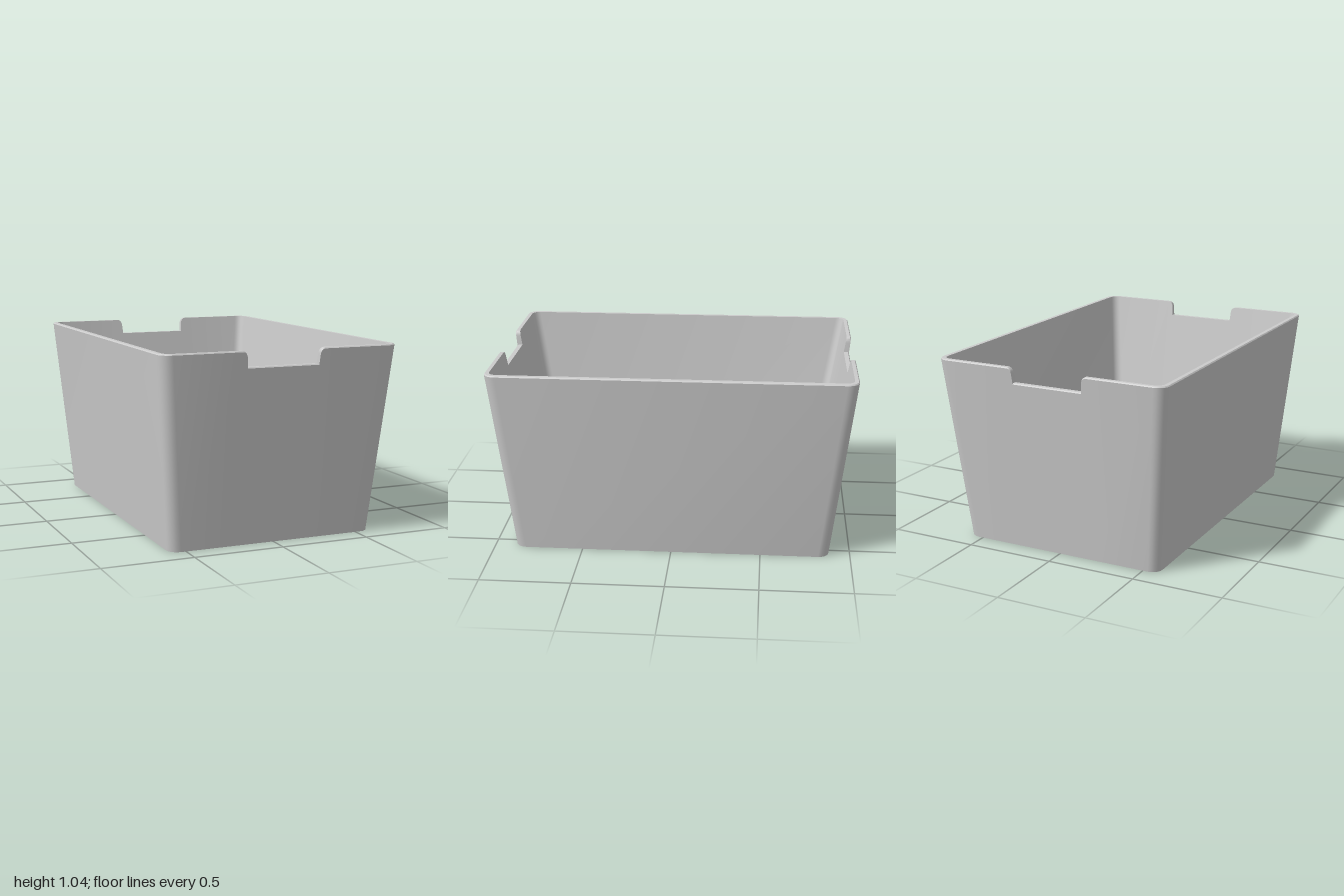
import * as THREE from 'three';
import { toCreasedNormals } from 'three/addons/utils/BufferGeometryUtils.js';

const HEIGHT = 1.04, FLOOR = 0.04, BEVEL = 0.006;
// Half width, half depth and corner radius of each outline
const OUTER = [[0.588, 0.883, 0.06], [0.675, 1.0, 0.065]];
const INNER = [[0.537, 0.806, 0.05], [0.647, 0.974, 0.045]];

const mix = ([a, b], t) => a.map((v, i) => THREE.MathUtils.lerp(v, b[i], t));
const outerAt = y => mix(OUTER, y / HEIGHT);
const innerAt = y => mix(INNER, (y - FLOOR) / (HEIGHT - FLOOR));

// Stations round half the wall: a corner, the handle notch, a corner
function halfStations() {
  const list = [];
  const corner = (side, from, to, n = 5) => {
    for (let i = 0; i <= n; i++) list.push({ side, angle: from + (to - from) * i / n, y: HEIGHT });
  };
  // Right half of the notch: square foot, rounded shoulder
  const notch = [[0.203, 0.955], [0.207, 1.008]];
  for (let i = 1; i <= 5; i++) {
    const a = (i / 5) * Math.PI / 2;
    notch.push([0.235 - 0.028 * Math.cos(a), 1.008 + 0.032 * Math.sin(a)]);
  }
  corner(-1, Math.PI, Math.PI / 2);
  [...notch].reverse().forEach(([x, y]) => list.push({ x: -x, y }));
  notch.forEach(([x, y]) => list.push({ x, y }));
  corner(1, Math.PI / 2, 0);
  return list;
}

// Point of a station on an outline at height y
function place(s, [w, d, r], y) {
  if (s.x !== undefined) return new THREE.Vector3(s.x, y, d);
  return new THREE.Vector3(s.side * (w - r) + r * Math.cos(s.angle), y, d - r + r * Math.sin(s.angle));
}

// Section through one station: underside, outer wall, rim, inner wall, floor
function section(s, turn) {
  const top = outerAt(s.y);
  const rim = [top[0] - BEVEL, top[1] - BEVEL, top[2] - BEVEL];
  const points = [
    new THREE.Vector3(0, 0, 0),
    place(s, OUTER[0], 0),
    place(s, outerAt(s.y - BEVEL), s.y - BEVEL),
    place(s, rim, s.y),
    place(s, innerAt(s.y), s.y),
    place(s, INNER[0], FLOOR),
    new THREE.Vector3(0, FLOOR, 0),
  ];
  return points.map(p => p.set(p.x * turn, p.y, p.z * turn));
}

function binGeometry() {
  const half = halfStations();
  const sections = [1, -1].flatMap(turn => half.map(s => section(s, turn)));
  const positions = [];
  const tri = (...pts) => pts.forEach(p => positions.push(p.x, p.y, p.z));
  sections.forEach((a, i) => {
    const b = sections[(i + 1) % sections.length];
    const last = a.length - 2;
    for (let j = 0; j <= last; j++) {
      if (j > 0) tri(a[j], b[j], b[j + 1]);
      else tri(a[0], b[1], a[1]);
      if (j > 0 && j < last) tri(a[j], b[j + 1], a[j + 1]);
    }
  });
  const geometry = new THREE.BufferGeometry();
  geometry.setAttribute('position', new THREE.Float32BufferAttribute(positions, 3));
  return toCreasedNormals(geometry, THREE.MathUtils.degToRad(35));
}

export function createModel() {
  const group = new THREE.Group();
  group.name = 'storageBin';
  const bin = new THREE.Mesh(binGeometry(), new THREE.MeshStandardMaterial({ color: 0xcccccc }));
  bin.name = 'binShell';
  group.add(bin);
  return group;
}
